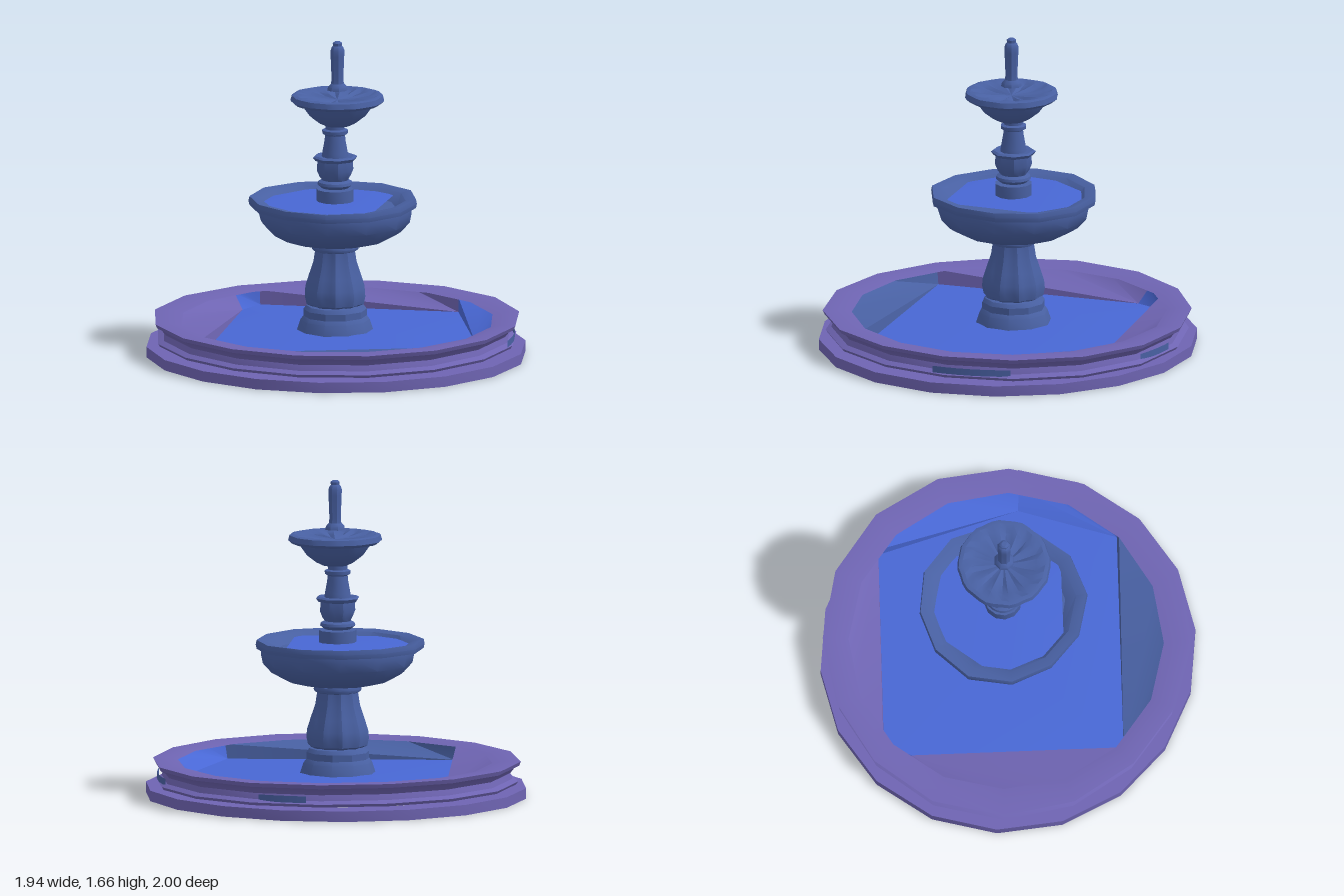
import * as THREE from 'three';
import { toCreasedNormals } from 'three/addons/utils/BufferGeometryUtils.js';

const material = (name, color) => {
  const m = new THREE.MeshStandardMaterial({ color, side: THREE.DoubleSide });
  m.name = name;
  return m;
};

export function createModel() {
  const model = new THREE.Group();
  model.name = 'fountain';
  const stone = material('blue stone', 0x4860a2);
  const rimStone = material('purple stone', 0x6e64b2);
  const water = material('water blue', 0x4867d4);

  const add = (name, geometry, mat, x = 0, y = 0, z = 0) => {
    const mesh = new THREE.Mesh(geometry, mat);
    mesh.name = name;
    mesh.position.set(x, y, z);
    model.add(mesh);
  };

  // Turned part; carve(angle, radius, y) returns a scale for the radius and a lift in y
  const turned = (name, profile, mat, sides, x, z, carve) => {
    const points = profile.map(([r, y]) => new THREE.Vector2(r, y));
    const g = new THREE.LatheGeometry(points, sides);
    const p = g.attributes.position;
    if (carve) {
      for (let i = 0; i < p.count; i++) {
        const px = p.getX(i), pz = p.getZ(i), y = p.getY(i);
        const [scale, lift] = carve(Math.atan2(pz, px), Math.hypot(px, pz), y);
        p.setXYZ(i, px * scale, y + lift, pz * scale);
      }
    }
    add(name, toCreasedNormals(g, 0.6), mat, x, 0, z);
  };

  // Flat-faced fan from the first corner through the rest
  const fan = (name, corners, mat) => {
    const data = [];
    for (let i = 1; i < corners.length - 1; i++) data.push(...corners[0], ...corners[i], ...corners[i + 1]);
    const g = new THREE.BufferGeometry();
    g.setAttribute('position', new THREE.Float32BufferAttribute(data, 3));
    g.computeVertexNormals();
    add(name, toCreasedNormals(g, 0.6), mat);
  };

  // Water surface rising slightly to the column in its middle
  const pond = (name, outline, edgeY, middle) => {
    const corners = outline.map(([x, z]) => [x, edgeY, z]);
    fan(name, [middle, ...corners, corners[0]], water);
  };

  // Ground slab and the moulded pool wall: open shells, a narrow joint apart
  turned('poolSlab', [[0.975, 0], [0.975, 0.055], [0.82, 0.055]], rimStone, 18, 0, 0,
    (a) => [1 + 0.025 * Math.sin(a) ** 2, 0]);
  turned('poolWall', [
    [0.84, 0.07], [0.935, 0.07], [0.945, 0.085], [0.915, 0.1], [0.905, 0.13], [0.925, 0.155],
    [0.95, 0.168], [0.96, 0.19], [0.89, 0.192], [0.82, 0.18],
  ], rimStone, 16, 0.01, 0, (a, r) => [1 + (r > 0.85 ? 0.012 * Math.sin(3 * a + 0.7) : 0), 0]);
  turned('poolLining', [[0.6, 0.1], [0.86, 0.072]], water, 16, 0.01, 0);

  // Blue stone inlays in the hollow of the pool wall
  [[0.33, 0.45], [1.6, 0.28]].forEach(([start, sweep]) => {
    add('wallInlay', new THREE.CylinderGeometry(0.93, 0.93, 0.035, 6, 1, true, start, sweep), stone, 0, 0.108, 0);
  });

  // Pool water with sloping shelves between its straight edges and the wall
  const pool = [[-0.78, -0.29], [-0.28, 0.78], [0.25, 0.71], [0.82, 0.2], [0.38, -0.75], [0.22, -0.75]];
  const shelfMaterials = [stone, water, water, rimStone, water, rimStone];
  pond('poolWater', pool, 0.105, [0.02, 0.135, -0.02]);
  pool.forEach(([x, z], i) => {
    const [qx, qz] = pool[(i + 1) % pool.length];
    const start = Math.atan2(-z, x);
    let sweep = Math.atan2(-qz, qx) - start;
    if (sweep < 0) sweep += Math.PI * 2;
    const corners = [[x, 0.105, z]];
    for (let k = 0; k <= 4; k++) {
      const a = start + sweep * k / 4;
      corners.push([0.845 * Math.cos(a), 0.18, -0.845 * Math.sin(a)]);
    }
    corners.push([qx, 0.105, qz]);
    fan('poolShelf', corners, shelfMaterials[i]);
  });

  // Lower pedestal: flared foot, fluted body, collar
  const cx = 0.02, cz = -0.02;
  turned('pedestalFoot', [[0.2, 0.12], [0.18, 0.18], [0.165, 0.2], [0.165, 0.235], [0.15, 0.255], [0.12, 0.26]],
    stone, 10, cx, cz);
  turned('pedestalBody', [
    [0.12, 0.255], [0.15, 0.27], [0.158, 0.31], [0.154, 0.35], [0.136, 0.41], [0.113, 0.48], [0.104, 0.54], [0.102, 0.56],
  ], stone, 40, cx, cz, (a) => [1 + 0.045 * Math.cos(10 * a), 0]);
  turned('pedestalCollar', [[0.1, 0.545], [0.12, 0.552], [0.125, 0.565], [0.122, 0.58], [0, 0.58]], stone, 12, cx, cz);

  // Large bowl with a faceted lip, a stone floor and a straight-edged pond
  turned('largeBowl', [
    [0, 0.59], [0.19, 0.592], [0.27, 0.612], [0.34, 0.65], [0.385, 0.7], [0.4, 0.75], [0.4, 0.775],
  ], stone, 24, cx, cz, (a, r, y) => [1 + (y < 0.74 ? 0.012 * Math.cos(12 * a) : 0), 0]);
  turned('largeBowlLip', [
    [0.39, 0.775], [0.435, 0.777], [0.44, 0.8], [0.435, 0.824], [0.38, 0.815], [0.33, 0.772], [0, 0.772],
  ], stone, 12, cx, -0.03, (a, r) => [1 + (r > 0.35 ? 0.02 * Math.sin(3 * a + 0.5) : 0), 0]);
  pond('largeBowlWater', [[-0.35, -0.08], [-0.16, 0.32], [0.4, 0.1], [0.31, -0.31], [-0.05, -0.39], [-0.27, -0.3]],
    0.798, [cx, 0.815, cz]);

  // Upper column: plain neck, vase, leafy band, tapering shaft
  turned('columnNeck', [[0.097, 0.77], [0.097, 0.873], [0, 0.873]], stone, 12, cx, cz);
  turned('columnVase', [
    [0, 0.88], [0.07, 0.88], [0.092, 0.898], [0.088, 0.912], [0.068, 0.922], [0.078, 0.94], [0.092, 0.975], [0.088, 1.03],
  ], stone, 24, cx, cz, (a, r, y) => [1 + (y > 0.93 ? 0.05 * Math.cos(8 * a) : 0), 0]);
  turned('columnLeafBand', [[0.08, 1.02], [0.1, 1.025], [0.112, 1.042], [0.1, 1.05], [0.06, 1.045]],
    stone, 24, cx, cz, (a) => [1 + 0.05 * Math.cos(8 * a), 0]);
  turned('columnShaft', [
    [0.07, 1.045], [0.066, 1.07], [0.055, 1.13], [0.052, 1.16], [0.066, 1.168], [0.068, 1.186], [0.05, 1.192], [0.05, 1.225],
  ], stone, 12, cx, cz);

  // Small bowl with a ruffled shell-like top
  const sx = 0.02, sz = -0.005;
  turned('smallBowl', [
    [0, 1.21], [0.065, 1.213], [0.1, 1.23], [0.145, 1.265], [0.17, 1.3], [0.185, 1.325], [0.225, 1.33],
    [0.242, 1.345], [0.235, 1.372], [0.215, 1.377], [0.17, 1.365], [0.1, 1.352], [0, 1.348],
  ], stone, 36, sx, sz, (a, r, y) => {
    const ruffle = Math.cos(12 * a + 0.8 * Math.sin(2 * a));
    const onTop = y > 1.34 && r > 0.08 && r < 0.2;
    return [1 + 0.015 * ruffle, onTop ? 0.008 * ruffle : 0];
  });

  // Spout finial
  turned('spout', [
    [0, 1.4], [0.054, 1.4], [0.05, 1.418], [0.034, 1.435], [0.031, 1.46], [0.036, 1.58], [0.037, 1.61],
    [0.03, 1.628], [0.023, 1.635], [0.025, 1.65], [0.014, 1.658], [0, 1.658],
  ], stone, 8, sx, sz);

  return model;
}
